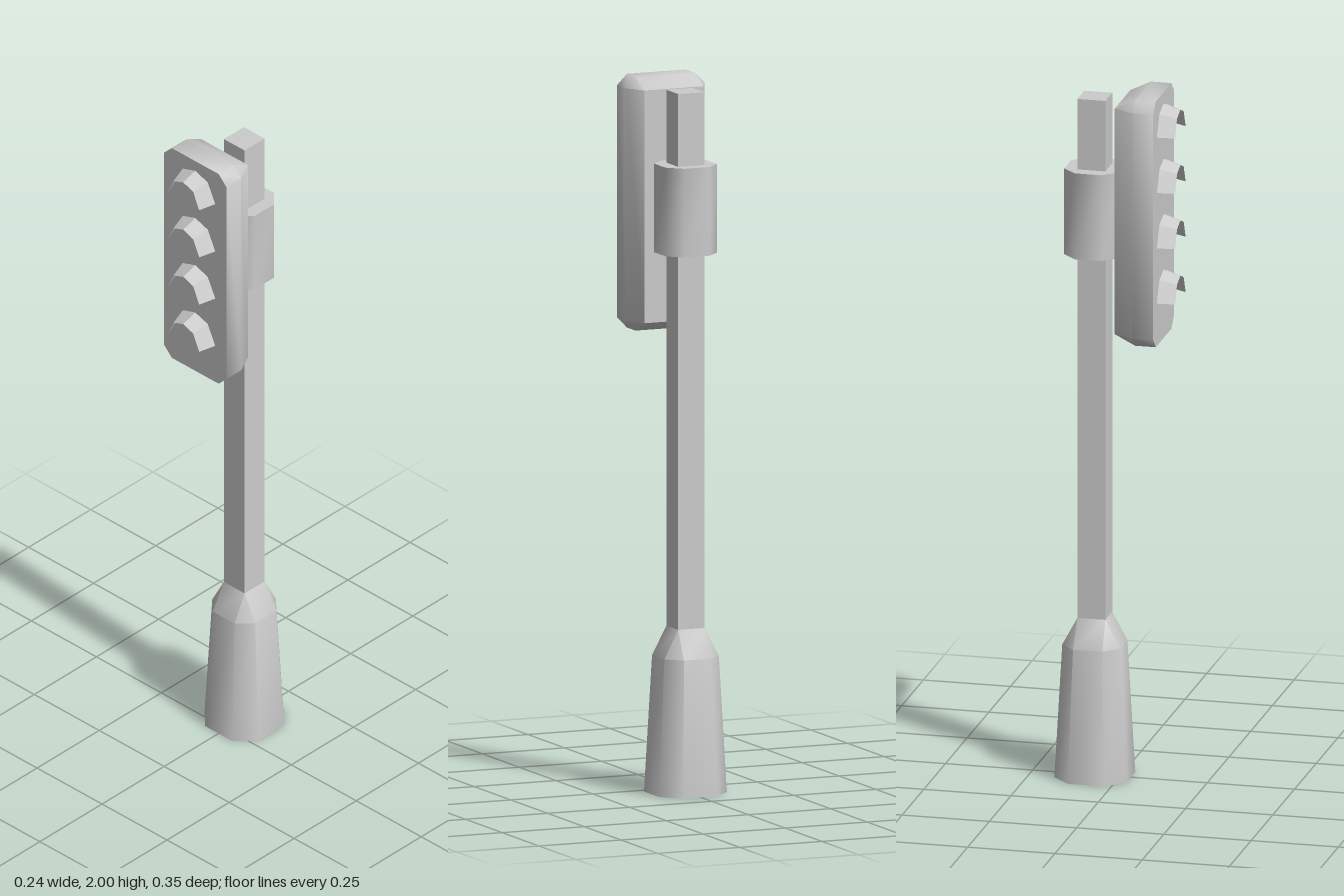
import * as THREE from 'three';
import { toCreasedNormals } from 'three/addons/utils/BufferGeometryUtils.js';

const POLE_Z = -0.072;

// Rectangle with cut corners, counter-clockwise; a cut of 0 gives a plain rectangle
function cutRectangle([z, hx, hy, cut]) {
  const a = hx - cut, b = hy - cut;
  return [[hx, -b], [hx, b], [a, hy], [-a, hy], [-hx, b], [-hx, -b], [-a, -hy], [a, -hy]]
    .map(([x, y]) => new THREE.Vector3(x, y, z));
}

function fromTriangles(triangles, crease) {
  const solid = triangles.filter(([a, b, c]) => new THREE.Triangle(a, b, c).getArea() > 1e-9);
  const geometry = new THREE.BufferGeometry().setFromPoints(solid.flat());
  return toCreasedNormals(geometry, crease);
}

// Closed solid through cut rectangles [z, halfX, halfY, cut], listed by rising z
function loft(sections, crease = 0.82) {
  const rings = sections.map(cutRectangle);
  const triangles = [];
  for (let r = 0; r < rings.length - 1; r++) {
    for (let i = 0; i < 8; i++) {
      const j = (i + 1) % 8;
      const [a, b, c, d] = [rings[r][i], rings[r][j], rings[r + 1][j], rings[r + 1][i]];
      triangles.push([a, b, c], [a, c, d]);
    }
  }
  const bottom = rings[0], top = rings[rings.length - 1];
  for (let i = 1; i < 7; i++) {
    triangles.push([bottom[0], bottom[i + 1], bottom[i]], [top[0], top[i], top[i + 1]]);
  }
  return fromTriangles(triangles, crease);
}

// Thin tapered hood running between two arches
function hoodGeometry() {
  const arch = (z, points) => points.map(([x, y]) => new THREE.Vector3(x, y, z));
  const back = arch(0.125, [[-0.077, -0.076], [-0.048, -0.016], [0, 0], [0.048, -0.016], [0.077, -0.076]]);
  const front = arch(0.173, [[-0.061, -0.08], [-0.038, -0.029], [0, -0.015], [0.038, -0.029], [0.061, -0.08]]);
  const triangles = [];
  for (let i = 0; i < 4; i++) {
    triangles.push([back[i], front[i], front[i + 1]], [back[i], front[i + 1], back[i + 1]]);
  }
  return fromTriangles(triangles, 0.6);
}

export function createModel() {
  const model = new THREE.Group();
  model.name = 'trafficSignal';
  const grey = new THREE.MeshStandardMaterial({ color: 0xcccccc });
  const thinGrey = new THREE.MeshStandardMaterial({ color: 0xcccccc, side: THREE.DoubleSide });

  const add = (name, geometry, material = grey) => {
    const mesh = new THREE.Mesh(geometry, material);
    mesh.name = name;
    model.add(mesh);
    return mesh;
  };
  const addUpright = (name, sections) => {
    add(name, loft(sections).rotateX(-Math.PI / 2)).position.z = POLE_Z;
  };

  // Tapered foot whose shoulder closes onto the square pole
  addUpright('base', [
    [0, 0.103, 0.103, 0.051],
    [0.385, 0.083, 0.083, 0.041],
    [0.465, 0.04, 0.04, 0],
  ]);
  addUpright('pole', [[0.46, 0.04, 0.04, 0], [1.975, 0.04, 0.04, 0]]);
  addUpright('collar', [[1.52, 0.078, 0.078, 0.039], [1.77, 0.078, 0.078, 0.039]]);

  // Signal housing, narrowing to a rectangular back panel
  add('signalHousing', loft([
    [0.007, 0.09, 0.328, 0],
    [0.066, 0.12, 0.3575, 0.03],
    [0.125, 0.12, 0.3575, 0.03],
  ])).position.y = 1.6425;

  // Four lamp hoods
  const hood = hoodGeometry();
  for (let i = 0; i < 4; i++) {
    add(`lampHood${i + 1}`, hood, thinGrey).position.y = 1.967 - i * 0.161;
  }
  return model;
}
